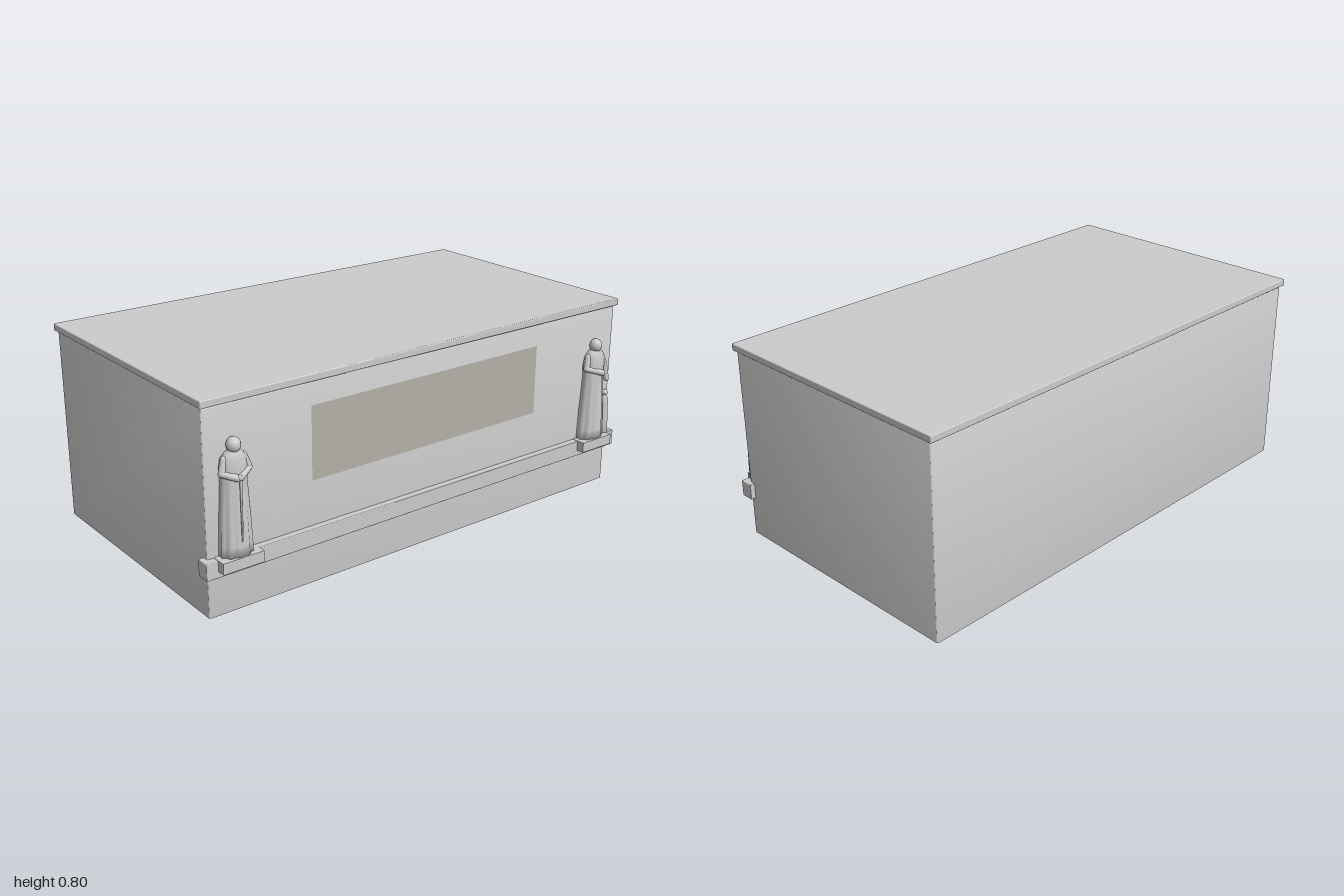
import * as THREE from 'three';
import { toCreasedNormals } from 'three/addons/utils/BufferGeometryUtils.js';
import { RoundedBoxGeometry } from 'three/addons/geometries/RoundedBoxGeometry.js';

const grey = new THREE.MeshStandardMaterial({ color: 0xcccccc });
const shell = new THREE.MeshStandardMaterial({ color: 0xcccccc, side: THREE.DoubleSide });
const dark = new THREE.MeshStandardMaterial({ color: 0xb4b0a8 });

function add(parent, name, geometry, x = 0, y = 0, z = 0, material = grey) {
  const mesh = new THREE.Mesh(geometry, material);
  mesh.name = name;
  mesh.position.set(x, y, z);
  parent.add(mesh);
  return mesh;
}

// Skin a stack of closed rings, listed from bottom to top
function loft(rings) {
  const n = rings[0].length, index = [];
  for (let i = 0; i < rings.length - 1; i++) {
    for (let j = 0; j < n; j++) {
      const a = i * n + j, c = i * n + (j + 1) % n;
      index.push(a, a + n, c, c, a + n, c + n);
    }
  }
  const geometry = new THREE.BufferGeometry().setFromPoints(rings.flat());
  geometry.setIndex(index);
  geometry.computeVertexNormals();
  return geometry;
}

// Hall walls and ceiling: rounded corners, open underneath
function hallGeometry(halfW, halfD, height, r) {
  const ring = (y, inset, scale = 1) => {
    const points = [];
    for (let q = 0; q < 4; q++) {
      for (let k = 0; k <= 3; k++) {
        const a = (q + k / 3) * Math.PI / 2;
        const sx = q === 0 || q === 3 ? 1 : -1, sz = q < 2 ? 1 : -1;
        points.push(new THREE.Vector3(
          scale * (sx * (halfW - r) + (r - inset) * Math.cos(a)), y,
          scale * (sz * (halfD - r) + (r - inset) * Math.sin(a))));
      }
    }
    return points;
  };
  const rings = [ring(0, 0), ring(height - r, 0), ring(height - r * 0.3, r * 0.3),
    ring(height, r), ring(height, r, 0)];
  return toCreasedNormals(loft(rings), 0.9);
}

// Robe from sections [y, half width, half depth, z shift], with folds fading upward
function robeGeometry(sections, folds, depth) {
  const n = 40, top = sections[sections.length - 1][0];
  return loft(sections.map(([y, w, d, dz]) => Array.from({ length: n }, (_, j) => {
    const a = j / n * Math.PI * 2;
    const ripple = 1 + depth * (1 - y / top) * Math.cos(folds * a);
    return new THREE.Vector3(w * ripple * Math.cos(a), y, d * ripple * Math.sin(a) + dz);
  })));
}

// Sleeve made of rounded straight pieces between joints
function limb(parent, name, joints, radius) {
  const arm = new THREE.Group();
  arm.name = name;
  const points = joints.map(p => new THREE.Vector3(...p));
  for (let i = 0; i < points.length - 1; i++) {
    const dir = points[i + 1].clone().sub(points[i]);
    const mid = points[i].clone().addScaledVector(dir, 0.5);
    const piece = add(arm, 'sleeve', new THREE.CapsuleGeometry(radius, dir.length(), 4, 10), mid.x, mid.y, mid.z);
    piece.quaternion.setFromUnitVectors(new THREE.Vector3(0, 1, 0), dir.normalize());
  }
  parent.add(arm);
}

// Robed figure shared by both ends of the front
function figure(name, x) {
  const g = new THREE.Group();
  g.name = name;
  g.position.set(x, 0.225, 0.508);
  add(g, 'robe', robeGeometry([
    [0, 0, 0, 0], [0, 0.063, 0.047, 0], [0.04, 0.062, 0.046, 0], [0.12, 0.059, 0.043, 0],
    [0.2, 0.054, 0.04, 0], [0.27, 0.05, 0.036, 0], [0.32, 0.053, 0.036, 0],
    [0.355, 0.047, 0.031, 0.002], [0.375, 0.03, 0.023, 0.004], [0.385, 0.014, 0.014, 0.006],
    [0.4, 0.012, 0.012, 0.008]], 11, 0.07), 0, 0, 0);
  const head = add(g, 'head', new THREE.SphereGeometry(0.026, 14, 10), 0, 0.398, 0.008);
  head.scale.y = 1.08;
  return g;
}

export function createModel() {
  const model = new THREE.Group();
  model.name = 'hall';

  // Main block, roof slab and front panel
  add(model, 'walls', hallGeometry(0.98, 0.525, 0.77, 0.008), 0, 0, -0.025, shell);
  add(model, 'roofSlab', new RoundedBoxGeometry(1.98, 0.028, 1.075, 2, 0.004), 0, 0.784, -0.025);
  add(model, 'frontPanel', new THREE.PlaneGeometry(1.085, 0.28), -0.003, 0.54, 0.502, dark);

  // Ledge running across the front, with a plinth at each end
  add(model, 'ledge', new RoundedBoxGeometry(2, 0.065, 0.055, 2, 0.003), 0, 0.193, 0.5);
  for (const x of [-0.872, 0.867]) {
    add(model, 'plinth', new THREE.BoxGeometry(0.165, 0.042, 0.07), x, 0.206, 0.525);
  }

  // Figure with both arms folded over a long staff
  const right = figure('rightFigure', -0.872);
  for (const s of [-1, 1]) {
    limb(right, 'foldedArm', [[s * 0.038, 0.353, 0.006], [s * 0.053, 0.308, 0.014], [s * 0.006, 0.289, 0.039]], 0.013);
  }
  add(right, 'staff', new THREE.CylinderGeometry(0.005, 0.003, 0.24, 8), 0, 0.18, 0.047);
  add(right, 'staffGrip', new THREE.SphereGeometry(0.011, 10, 8), 0, 0.292, 0.044);
  model.add(right);

  // Figure with one arm folded and one hanging beside a child
  const left = figure('leftFigure', 0.867);
  limb(left, 'foldedArm', [[-0.038, 0.353, 0.006], [-0.053, 0.308, 0.014], [0.015, 0.285, 0.039]], 0.013);
  limb(left, 'hangingArm', [[0.038, 0.353, 0.006], [0.058, 0.31, 0.008], [0.066, 0.245, 0.018]], 0.012);
  model.add(left);

  // Child
  const child = new THREE.Group();
  child.name = 'child';
  child.position.set(0.947, 0.225, 0.512);
  add(child, 'childRobe', robeGeometry([
    [0, 0, 0, 0], [0, 0.022, 0.02, 0], [0.06, 0.021, 0.019, 0], [0.12, 0.019, 0.016, 0],
    [0.15, 0.018, 0.014, 0], [0.163, 0.011, 0.01, 0], [0.172, 0.006, 0.006, 0]], 8, 0.05));
  add(child, 'childHead', new THREE.SphereGeometry(0.014, 12, 8), 0, 0.176, 0);
  model.add(child);

  return model;
}
